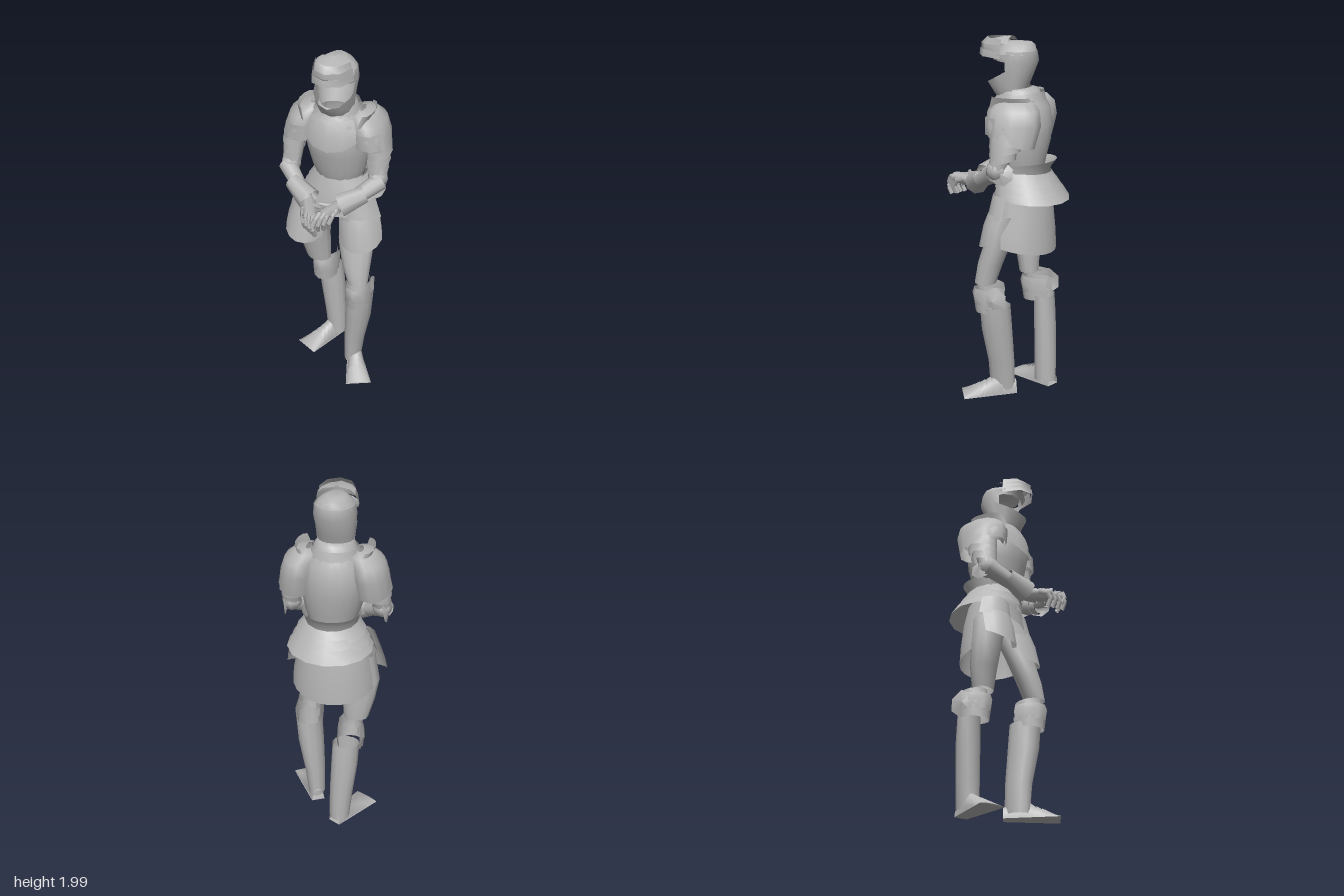
import * as THREE from 'three';

const steel = new THREE.MeshStandardMaterial({ color: 0xb6b6b6, side: THREE.DoubleSide });
steel.name = 'plain steel';
const V = (x, y, z) => new THREE.Vector3(x, y, z);

export function createModel() {
  const model = new THREE.Group();
  model.name = 'suitOfArmour';

  const add = (name, geometry, parent = model) => {
    const mesh = new THREE.Mesh(geometry, steel);
    mesh.name = name;
    parent.add(mesh);
    return mesh;
  };

  // Grid of points -> smooth shell; the seam is shared when closed
  const shell = (rows, closed) => {
    const n = rows[0].length, index = [];
    for (let i = 0; i < rows.length - 1; i++) {
      for (let j = 0; j < (closed ? n : n - 1); j++) {
        const k = (j + 1) % n, a = i * n, b = a + n;
        index.push(a + j, a + k, b + j, a + k, b + k, b + j);
      }
    }
    const g = new THREE.BufferGeometry().setFromPoints(rows.flat());
    g.setIndex(index);
    g.computeVertexNormals();
    return g;
  };

  // Plate from elliptical rings [y, cx, cz, rx, rz, tilt]; angle 0 is the front, 90 is +x
  const plate = (name, rings, from = 0, to = 360, n = 16, s = 1) => {
    const closed = to - from >= 360;
    const rows = rings.map(([y, cx, cz, rx, rz, tilt = 0]) => {
      const row = [];
      for (let j = 0; j < (closed ? n : n + 1); j++) {
        const a = THREE.MathUtils.degToRad(from + (to - from) * j / n);
        row.push(V(s * (cx + rx * Math.sin(a)), y + tilt * Math.cos(a), cz + rz * Math.cos(a)));
      }
      return row;
    });
    return add(name, shell(rows, closed));
  };

  // Open tapered sleeve between two points
  const sleeve = (name, a, b, r0, r1, n = 10) => {
    const d = b.clone().sub(a);
    const mesh = add(name, new THREE.CylinderGeometry(r1, r0, d.length(), n, 1, true));
    mesh.position.copy(a).add(b).multiplyScalar(0.5);
    mesh.quaternion.setFromUnitVectors(V(0, 1, 0), d.normalize());
    return mesh;
  };

  // Helmet: open-faced skull, prowed bevor and raised visor
  plate('helmetSkull', [[1.69, 0, -0.04, 0.085, 0.06], [1.76, 0, -0.04, 0.1, 0.085],
    [1.87, 0.003, -0.05, 0.113, 0.12], [1.925, 0.003, -0.052, 0.106, 0.108]], 72, 288, 14);
  plate('helmetCrown', [[1.91, 0.003, -0.05, 0.11, 0.112], [1.95, 0, -0.06, 0.085, 0.093],
    [1.968, -0.005, -0.06, 0.05, 0.075], [1.972, -0.01, -0.06, 0.002, 0.002]], 0, 360, 12);
  plate('bevor', [[1.665, 0, -0.04, 0.085, 0.075], [1.72, 0, -0.04, 0.098, 0.115, -0.02],
    [1.83, 0, -0.035, 0.112, 0.145, -0.08]], -95, 95, 6);
  // Visor lames, each a prowed band
  [[1.885, 1.925, 0.155, 0.15, 0.114], [1.92, 1.955, 0.143, 0.145, 0.11], [1.95, 1.985, 0.142, 0.11, 0.1]]
    .forEach(([y0, y1, d0, d1, r], i) => plate('visorLame' + (i + 1),
      [[y0, 0, 0, r, d0, 0.012], [y1, 0, 0, r - 0.006, d1, 0.008]], -85, 85, 4));
  plate('visorTop', [[1.965, 0, -0.01, 0.098, 0.11, 0.01], [1.985, 0, -0.01, 0.07, 0.07],
    [1.998, 0, -0.02, 0.012, 0.02]], -100, 100, 6);
  plate('visorBrow', [[1.87, 0, -0.02, 0.117, 0.095, 0.01], [1.91, 0, -0.02, 0.117, 0.12]], -100, 100, 6);

  // Neck
  plate('gorgetLower', [[1.63, 0, -0.07, 0.15, 0.15], [1.68, 0, -0.07, 0.13, 0.134, -0.01],
    [1.7, 0, -0.07, 0.122, 0.128, -0.012]]);
  plate('gorgetUpper', [[1.67, 0, -0.065, 0.122, 0.122, -0.01], [1.715, 0, -0.06, 0.105, 0.11, -0.012],
    [1.725, 0, -0.05, 0.09, 0.085, -0.01]]);

  // Body
  plate('cuirass', [[1.28, 0.012, -0.08, 0.128, 0.12], [1.35, 0.01, -0.075, 0.152, 0.14],
    [1.45, 0.005, -0.075, 0.172, 0.163], [1.54, 0, -0.067, 0.178, 0.177],
    [1.63, 0, -0.07, 0.165, 0.16], [1.69, 0, -0.07, 0.118, 0.124]], 0, 360, 20);
  plate('breastOverlay', [[1.62, 0, -0.065, 0.184, 0.182, -0.12], [1.6, 0, -0.067, 0.177, 0.176],
    [1.665, 0, -0.07, 0.145, 0.145]], -52, 52, 4);

  // Waist lames, flaring towards the back
  plate('waistFlange', [[1.265, 0.012, -0.09, 0.14, 0.14], [1.3, 0.012, -0.095, 0.147, 0.15, -0.01],
    [1.335, 0.012, -0.11, 0.158, 0.165, -0.015]], 70, 290, 14);
  [[1.29, 1.23, 0.145, 0.19, 0.145, 0.175, -0.115], [1.25, 1.185, 0.165, 0.213, 0.16, 0.19, -0.13],
    [1.205, 1.145, 0.188, 0.234, 0.18, 0.205, -0.143]]
    .forEach(([y1, y0, r1, r0, d1, d0, cz], i) => plate('waistLame' + (i + 1),
      [[y0, 0.015, cz, r0, d0, 0.015], [y1, 0.012, cz + 0.015, r1, d1, 0.01]], 0, 360, 14));
  plate('frontFauld', [[1.07, 0.0, -0.08, 0.235, 0.15], [1.18, 0, -0.08, 0.195, 0.135]], -85, 85, 8);
  plate('rearSkirt', [[0.88, 0.005, -0.06, 0.232, 0.212, 0.045], [0.95, 0.005, -0.06, 0.225, 0.208, 0.01],
    [1.08, 0.005, -0.065, 0.2, 0.19], [1.18, 0.01, -0.07, 0.18, 0.165]], 80, 280, 14);

  for (const s of [1, -1]) {
    const side = s > 0 ? 'left' : 'right';
    const p = (x, y, z) => V(s * x, y, z);
    const half = (name, rings, from, to, n) => plate(side + name, rings, from, to, n, s);

    // Hip plates
    half('TassetLower', [[0.935, 0.16, -0.015, 0.122, 0.128, -0.055], [1.0, 0.15, -0.03, 0.122, 0.12],
      [1.07, 0.14, -0.05, 0.112, 0.115]], -62, 85, 6);
    half('TassetUpper', [[1.055, 0.14, -0.05, 0.122, 0.122, -0.02], [1.17, 0.115, -0.06, 0.105, 0.105]], -62, 85, 6);

    // Shoulder
    half('Pauldron', [[1.47, 0.2, -0.075, 0.098, 0.125, 0.03], [1.56, 0.185, -0.08, 0.1, 0.15],
      [1.635, 0.17, -0.085, 0.09, 0.135], [1.675, 0.145, -0.085, 0.065, 0.1],
      [1.69, 0.135, -0.08, 0.015, 0.04]], -45, 235, 10);
    half('PauldronFront', [[1.51, 0.19, -0.08, 0.108, 0.15], [1.6, 0.18, -0.08, 0.094, 0.152]], -58, 60, 3);
    [0, 1, 2].forEach(i => half('ShoulderLame' + (i + 1),
      [[1.46 - i * 0.045, 0.235, -0.06 + i * 0.012, 0.068 - i * 0.004, 0.095 - i * 0.012, -0.015],
        [1.525 - i * 0.045, 0.228, -0.065 + i * 0.012, 0.06, 0.095 - i * 0.012]], -40, 220, 9));
    half('CollarGuard', [[1.635, 0.145, -0.06, 0.035, 0.12], [1.7, 0.165, -0.06, 0.045, 0.1]], 0, 180, 6);

    // Arm
    const elbow = p(0.245, 1.325, -0.01), wrist = p(0.095, 1.205, 0.155);
    sleeve(side + 'UpperArm', p(0.225, 1.55, -0.07), elbow, 0.06, 0.05);
    const cop = add(side + 'ElbowCop', new THREE.SphereGeometry(0.058, 8, 6));
    cop.position.copy(elbow);
    cop.scale.set(0.95, 1, 1.05);
    const wing = add(side + 'ElbowWing', new THREE.ConeGeometry(0.065, 0.025, 7, 1, true));
    wing.position.set(s * 0.275, 1.315, -0.04);
    wing.rotation.z = -s * 1.35;
    sleeve(side + 'Forearm', p(0.265, 1.315, 0.0), wrist, 0.05, 0.036);
    sleeve(side + 'Cuff', p(0.205, 1.268, 0.085), p(0.085, 1.212, 0.15), 0.046, 0.066, 8);

    // Gauntlet, palm down, with overlapping back lames and fingers bent over the front
    const drop = s > 0 ? 0.012 : -0.012;
    [0, 1, 2].forEach(i => {
      const lame = sleeve(side + 'HandLame' + (i + 1), p(0.09 - i * 0.018, 1.208 + drop, 0.14 + i * 0.04),
        p(0.066 - i * 0.018, 1.203 + drop, 0.2 + i * 0.04), 0.038, 0.05, 8);
      lame.scale.z = 0.65;
    });
    for (let f = 0; f < 4; f++) {
      const x = 0.09 - f * 0.024, z = 0.235 + f * 0.018;
      const path = [p(x, 1.215 + drop, z - 0.01), p(x - 0.01, 1.2 + drop, z + 0.035),
        p(x - 0.02, 1.165 + drop, z + 0.05), p(x - 0.025, 1.125 + drop, z + 0.03)];
      for (let k = 0; k < 3; k++) sleeve(side + 'Finger' + (f + 1), path[k], path[k + 1], 0.018 - k * 0.003, 0.013, 5);
    }
    sleeve(side + 'Thumb', p(0.06, 1.21 + drop, 0.18), p(-0.01, 1.235 + drop, 0.22), 0.02, 0.01, 5);
  }

  // Legs: the left one stands forward, the right one back
  const legs = [
    { side: 'left', s: 1, knee: [0.165, 0.045],
      thigh: [[0.67, 0.17, 0.08, 0.058, 0.06], [0.78, 0.152, 0.055, 0.083, 0.07],
        [0.9, 0.137, 0.015, 0.102, 0.075], [1.06, 0.12, -0.04, 0.1, 0.09]],
      shin: [[0.03, 0.122, -0.005, 0.048, 0.072], [0.2, 0.133, 0.0, 0.06, 0.076],
        [0.4, 0.158, 0.018, 0.076, 0.088], [0.54, 0.168, 0.025, 0.078, 0.088]],
      heel: [0.115, -0.05], toe: [0.22, 0.193] },
    { side: 'right', s: -1, knee: [-0.1, -0.16],
      thigh: [[0.66, -0.12, -0.095, 0.07, 0.055], [0.78, -0.135, -0.085, 0.09, 0.068],
        [0.9, -0.147, -0.065, 0.1, 0.078], [1.06, -0.12, -0.06, 0.1, 0.09]],
      shin: [[0.03, -0.045, -0.212, 0.058, 0.063], [0.2, -0.055, -0.21, 0.066, 0.064],
        [0.4, -0.072, -0.202, 0.075, 0.063], [0.54, -0.08, -0.195, 0.076, 0.058]],
      heel: [-0.038, -0.238], toe: [-0.18, -0.005] },
  ];
  for (const { side, s, knee: [kx, kz], thigh, shin, heel, toe } of legs) {
    plate(side + 'Cuisse', thigh, 0, 360, 12);
    plate(side + 'Greave', shin, 0, 360, 12);

    // Knee bands, cop and outer wing
    plate(side + 'KneeLower', [[0.51, kx, kz, 0.074, 0.09, -0.01], [0.57, kx, kz, 0.075, 0.1]], -130, 130, 9);
    plate(side + 'KneeCop', [[0.55, kx, kz, 0.077, 0.1], [0.605, kx, kz, 0.077, 0.112],
      [0.64, kx, kz, 0.072, 0.1]], -120, 120, 6);
    plate(side + 'KneeUpper', [[0.615, kx, kz, 0.07, 0.085], [0.665, kx, kz, 0.068, 0.075, 0.01]], -140, 140, 9);
    const wing = add(side + 'KneeWing', new THREE.ConeGeometry(0.08, 0.02, 7, 1, true));
    wing.position.set(kx + s * 0.074, 0.585, kz - 0.025);
    wing.rotation.z = -s * Math.PI / 2;

    // Foot: overlapping arched lames [z0, z1, width0, width1, height0, height1]
    const foot = new THREE.Group();
    foot.name = side + 'Foot';
    foot.position.set(heel[0], 0.005, heel[1]);
    foot.rotation.y = Math.atan2(toe[0] - heel[0], toe[1] - heel[1]);
    model.add(foot);
    const arch = ([z0, z1, w0, w1, h0, h1]) => shell([[z0, w0, h0], [z1, w1, h1]].map(([z, w, h]) =>
      Array.from({ length: 9 }, (_, j) => {
        const a = Math.PI * j / 8;
        return V(w * Math.cos(a), h * Math.sin(a), z);
      })), false);
    [[-0.03, 0.06, 0.038, 0.044, 0.07, 0.09], [0.05, 0.1, 0.044, 0.05, 0.125, 0.085],
      [0.085, 0.13, 0.046, 0.054, 0.11, 0.068], [0.115, 0.16, 0.049, 0.058, 0.092, 0.056],
      [0.145, 0.19, 0.053, 0.063, 0.076, 0.046], [0.175, 0.272, 0.059, 0.075, 0.062, 0.008],
    ].forEach((r, i) => add('sabatonLame' + (i + 1), arch(r), foot));
    add('sole', shell([[V(0.038, 0, -0.03), V(-0.038, 0, -0.03)], [V(0.075, 0, 0.272), V(-0.075, 0, 0.272)]], false), foot);
  }
  return model;
}
